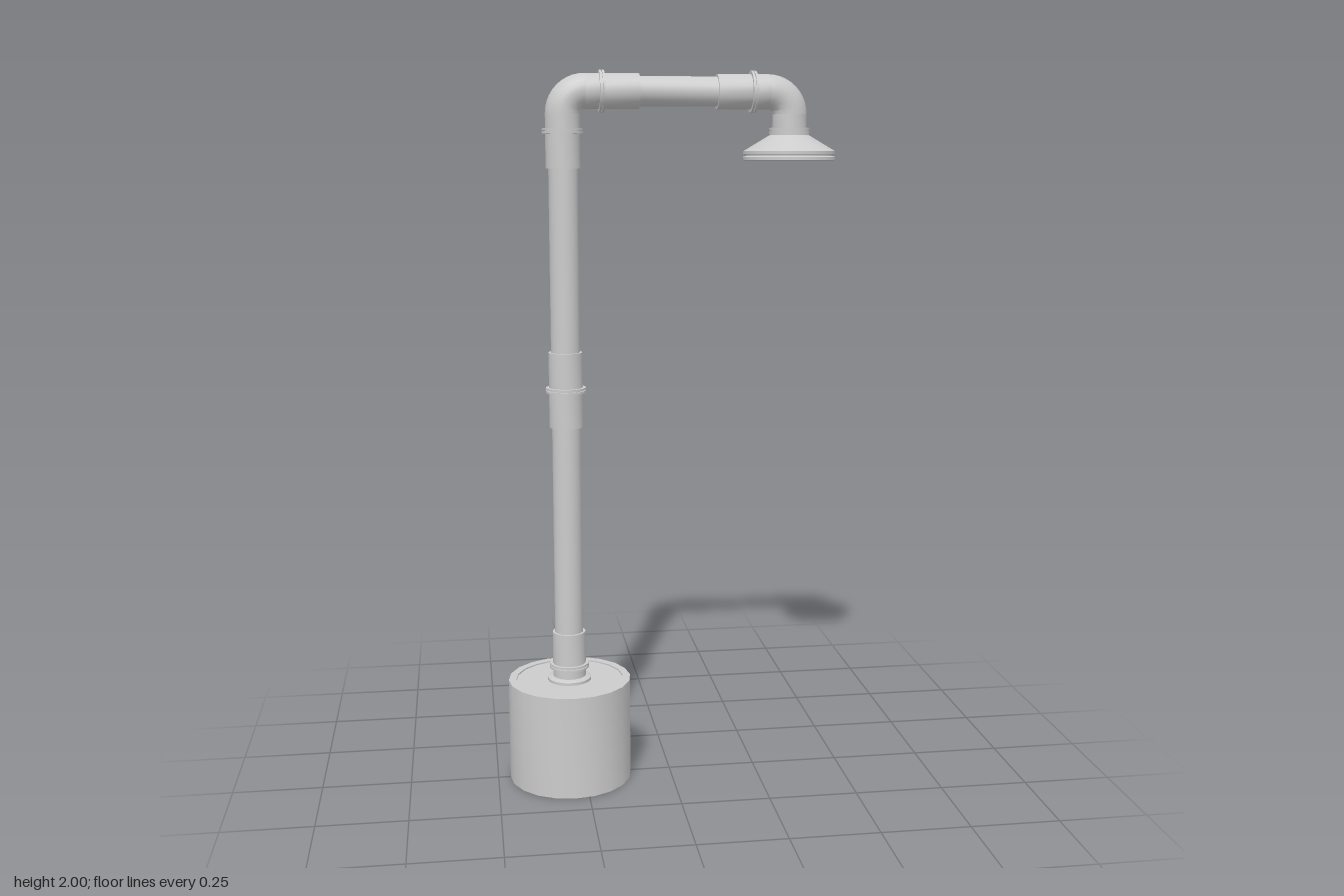
import * as THREE from 'three';
import { toCreasedNormals } from 'three/addons/utils/BufferGeometryUtils.js';

const SIDES = 20;
const PIPE = 0.04, SLEEVE = 0.047, FLANGE = 0.056;
const POST_X = -0.29, HEAD_X = 0.333, ARM_Y = 1.945, BEND = 0.06;

export function createModel() {
  const model = new THREE.Group();
  const material = new THREE.MeshStandardMaterial({ color: 0xcccccc, side: THREE.DoubleSide });

  const add = (name, geometry, x, y, lying = false) => {
    const mesh = new THREE.Mesh(toCreasedNormals(geometry, 0.5), material);
    mesh.name = name;
    mesh.position.set(x, y, 0);
    if (lying) mesh.rotation.z = -Math.PI / 2;
    model.add(mesh);
  };

  // Turned part from [radius, height] pairs, listed from bottom to top
  const turned = (profile) =>
    new THREE.LatheGeometry(profile.map(([r, h]) => new THREE.Vector2(r, h)), SIDES);

  // Sleeve running from a to b along its axis, with a grooved double flange at f
  const sleeve = (a, b, f) => turned([
    [PIPE - 0.002, a], [SLEEVE, a],
    [SLEEVE, f - 0.007], [FLANGE, f - 0.007], [FLANGE, f - 0.001],
    [SLEEVE + 0.004, f - 0.001], [SLEEVE + 0.004, f + 0.001],
    [FLANGE, f + 0.001], [FLANGE, f + 0.007], [SLEEVE, f + 0.007],
    [SLEEVE, b], [PIPE - 0.002, b],
  ]);

  // Quarter bend of the pipe
  const elbow = () => new THREE.TorusGeometry(BEND, SLEEVE, SIDES, 10, Math.PI / 2);

  // Drum base, open underneath, with a shallow recessed top
  add('base', turned([
    [0.175, 0], [0.175, 0.295], [0.153, 0.295], [0.153, 0.291], [0, 0.291],
  ]), POST_X, 0);
  add('baseCollar', turned([[0.062, 0.29], [0.062, 0.299], [0.052, 0.304], [0.04, 0.304]]), POST_X, 0);

  // Post and its couplings
  add('post', new THREE.CylinderGeometry(PIPE, PIPE, 1.5, SIDES, 1, true), POST_X, 1.04);
  add('baseCoupling', sleeve(0.291, 0.435, 0.335), POST_X, 0);
  add('middleCoupling', sleeve(1.03, 1.24, 1.135), POST_X, 0);
  add('postTopCoupling', sleeve(1.74, ARM_Y - BEND, 1.84), POST_X, 0);

  // Arm with an elbow at each end
  const rightElbow = elbow();
  rightElbow.rotateZ(Math.PI / 2);
  add('postElbow', rightElbow, POST_X + BEND, ARM_Y - BEND);
  add('arm', new THREE.CylinderGeometry(PIPE, PIPE, 0.3, SIDES, 1, true), 0.0225, ARM_Y, true);
  add('armInnerCoupling', sleeve(POST_X + BEND, -0.083, -0.185), 0, ARM_Y, true);
  add('armOuterCoupling', sleeve(0.13, HEAD_X - BEND, 0.23), 0, ARM_Y, true);
  add('headElbow', elbow(), HEAD_X - BEND, ARM_Y - BEND);
  add('headCoupling', sleeve(1.815, ARM_Y - BEND, 1.842), HEAD_X, 0);

  // Shower head: recessed nozzle, grooved rim and flared cone
  add('showerHead', turned([
    [0, 1.768], [0.03, 1.768], [0.03, 1.76], [0.122, 1.76],
    [0.127, 1.763], [0.127, 1.771], [0.119, 1.773], [0.119, 1.777],
    [0.127, 1.779], [0.127, 1.786], [0.055, 1.829], [0.055, 1.837], [0.04, 1.837],
  ]), HEAD_X, 0);

  return model;
}
